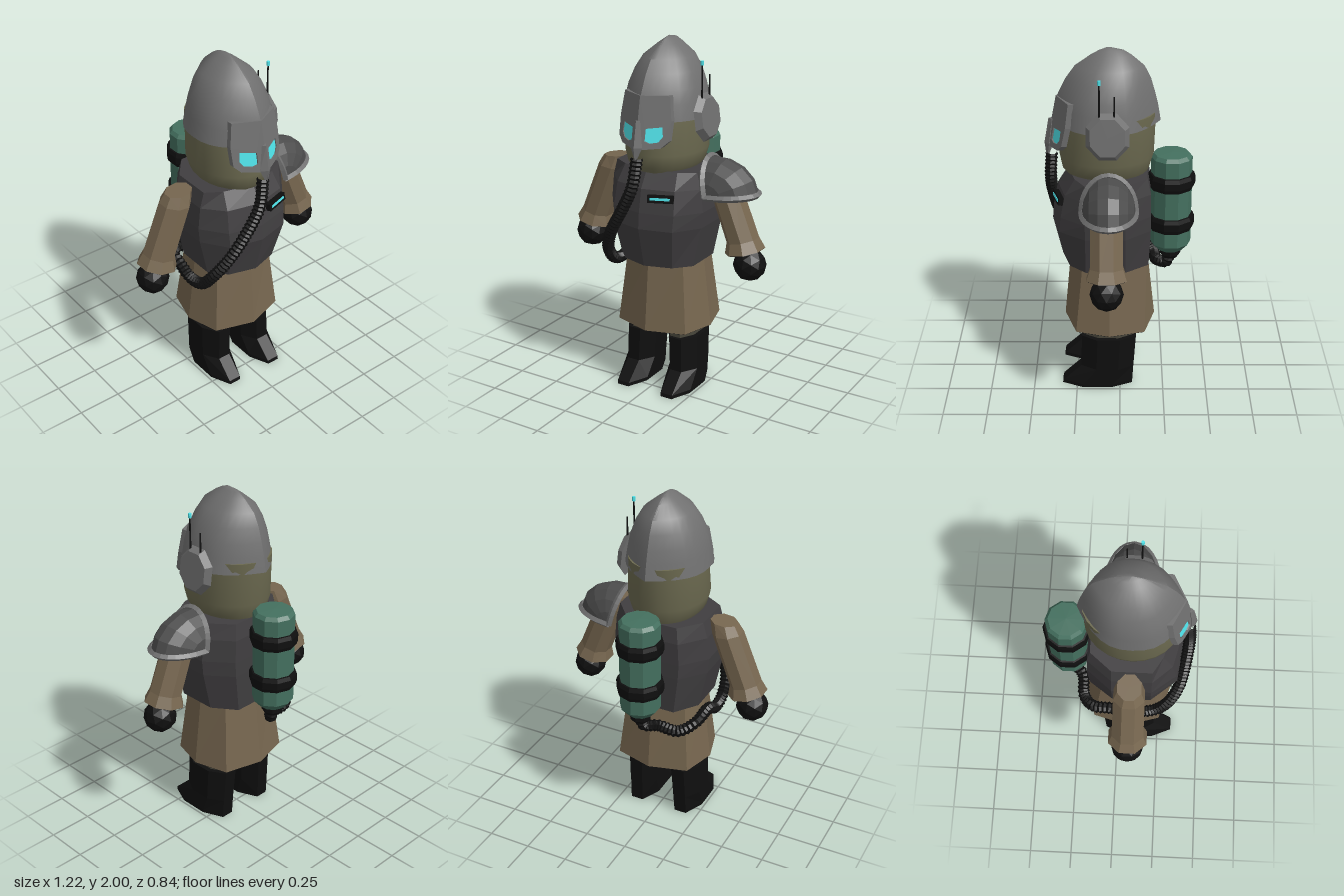
import * as THREE from 'three';
import { toCreasedNormals } from 'three/addons/utils/BufferGeometryUtils.js';
import { ParametricGeometry } from 'three/addons/geometries/ParametricGeometry.js';

const mat = (color, flatShading = true, side = THREE.FrontSide) =>
  new THREE.MeshStandardMaterial({ color, flatShading, side });
const STEEL = 0x707070, PLATE = 0x403e40, CLOTH = 0x76664f, HOOD = 0x6c6a50;
const BLACK = 0x0f0f0f, GREEN = 0x44705f, CYAN = 0x4fe3ea, PANTS = 0x47453a;

// Horizontal ring, counter-clockwise from above: half width w, front f, back b.
function ring(cx, y, w, f, b, { n = 8, tilt = 0, flat = true } = {}) {
  const k = flat ? 1 / Math.cos(Math.PI / n) : 1;
  return Array.from({ length: n }, (_, i) => {
    const a = ((i + (flat ? 0.5 : 0)) / n) * Math.PI * 2;
    const dx = w * k * Math.sin(a);
    return [cx + dx, y + tilt * dx, (f + b) / 2 + ((f - b) / 2) * k * Math.cos(a)];
  });
}

// Mirrors a half outline of [x, z] pairs, front to back, into a ring.
function halfRing(y, pts) {
  const mirrored = pts.slice(1, -1).reverse().map(([x, z]) => [-x, z]);
  return [...pts, ...mirrored].map(([x, z]) => [x, y, z]);
}

// Skins rings from bottom to top and closes both ends.
function loft(rings) {
  const n = rings[0].length, pos = rings.flat(2), idx = [];
  for (let r = 0; r < rings.length - 1; r++) {
    for (let i = 0; i < n; i++) {
      const a = r * n + i, b = r * n + ((i + 1) % n);
      idx.push(a, b, b + n, a, b + n, a + n);
    }
  }
  for (const r of [0, rings.length - 1]) {
    const c = pos.length / 3;
    for (let k = 0; k < 3; k++) pos.push(rings[r].reduce((s, p) => s + p[k], 0) / n);
    for (let i = 0; i < n; i++) {
      const a = r * n + i, b = r * n + ((i + 1) % n);
      idx.push(...(r === 0 ? [c, b, a] : [c, a, b]));
    }
  }
  const g = new THREE.BufferGeometry();
  g.setAttribute('position', new THREE.Float32BufferAttribute(pos, 3));
  g.setIndex(idx);
  g.computeVertexNormals();
  return g;
}

export function createModel() {
  const model = new THREE.Group();
  const add = (name, geo, material, parent = model) => {
    const m = new THREE.Mesh(geo, material);
    m.name = name;
    parent.add(m);
    return m;
  };

  // Hooded head
  const smooth = { n: 24, flat: false };
  add('head', toCreasedNormals(loft([
    ring(0, 1.28, 0.16, 0.28, -0.14, smooth), ring(0, 1.33, 0.2, 0.32, -0.165, smooth),
    ring(0, 1.4, 0.22, 0.333, -0.185, smooth), ring(0, 1.65, 0.21, 0.305, -0.195, smooth),
  ]), 0.8), mat(HOOD, false));

  // Ridged helmet dome: rows of [y, half width, front, back]
  const dome = [[1.59, 0.233, 0.37, -0.22], [1.68, 0.218, 0.355, -0.205], [1.75, 0.203, 0.33, -0.188],
    [1.83, 0.172, 0.29, -0.165], [1.9, 0.13, 0.24, -0.13], [1.96, 0.058, 0.155, -0.06], [1.985, 0.024, 0.11, -0.02],
    [2, 0.001, 0.07, 0.05]];
  add('helmet', toCreasedNormals(loft(dome.map(([y, w, f, b]) =>
    Array.from({ length: 32 }, (_, i) => {
      const a = (i / 32) * Math.PI * 2, c = Math.cos(a);
      return [Math.sign(Math.sin(a)) * w * (1 - Math.abs(c) ** 2.6), y, (f + b) / 2 + ((f - b) / 2) * c];
    }))), 0.75), mat(STEEL, false));

  // Visor halves, swept back from the centre line, with lenses in the eye holes
  const vecs = (pts) => pts.map(([x, y]) => new THREE.Vector2(x, y));
  const eye = [[0.038, 1.56], [0.12, 1.57], [0.125, 1.52], [0.105, 1.49], [0.065, 1.483], [0.038, 1.495]];
  const plate = new THREE.Shape(vecs([[0, 1.73], [0, 1.45], [0.05, 1.452], [0.12, 1.46], [0.155, 1.495],
    [0.158, 1.6], [0.14, 1.73]]));
  plate.holes.push(new THREE.Path(vecs(eye)));
  const sweep = (shape, depth, offset) => {
    const g = new THREE.ExtrudeGeometry(shape, { depth, bevelEnabled: false });
    const p = g.attributes.position;
    for (let i = 0; i < p.count; i++) {
      p.setZ(i, p.getZ(i) + offset + 0.345 + (1.73 - p.getY(i)) * 0.2 - 0.5 * p.getX(i));
    }
    g.computeVertexNormals();
    return g;
  };
  for (const s of [1, -1]) {
    const half = new THREE.Group();
    half.name = s > 0 ? 'leftVisor' : 'rightVisor';
    half.scale.x = s;
    add('visorPlate', sweep(plate, 0.03, -0.03), mat(STEEL), half);
    add('lens', sweep(new THREE.Shape(vecs(eye)), 0.015, -0.023), mat(CYAN), half);
    model.add(half);
  }
  const noseRing = (y, w, f, b) => halfRing(y, [[0, f], [w, (f + b) / 2], [0, b]]);
  add('noseGuard', loft([noseRing(1.385, 0.004, 0.405, 0.39), noseRing(1.46, 0.036, 0.413, 0.36),
    noseRing(1.6, 0.014, 0.388, 0.35)]), mat(STEEL));

  // Ear radio with two aerials
  const radio = new THREE.Group();
  radio.name = 'earRadio';
  model.add(radio);
  const disc = new THREE.CylinderGeometry(0.1, 0.125, 0.035, 8).rotateY(Math.PI / 8).rotateZ(-Math.PI / 2);
  const ear = add('earDisc', disc, mat(STEEL), radio);
  ear.position.set(0.25, 1.588, 0.065);
  ear.rotation.z = 0.13;
  ear.scale.y = 1.1;
  for (const [y0, y1, z] of [[1.6, 1.88, 0.108], [1.6, 1.81, 0.03]]) {
    add('aerial', new THREE.CylinderGeometry(0.004, 0.006, y1 - y0, 6), mat(BLACK), radio)
      .position.set(0.235, (y0 + y1) / 2, z);
  }
  add('aerialTip', new THREE.CylinderGeometry(0.009, 0.009, 0.025, 6), mat(CYAN), radio).position.set(0.235, 1.885, 0.108);

  // Chest armour
  const chest = (y, w, f, b) => halfRing(y, [[0, f], [w * 0.65, f - 0.045], [w, 0.19], [w, -0.03], [w * 0.6, b], [0, b]]);
  add('chestArmour', loft([chest(0.77, 0.235, 0.325, -0.16), chest(1.0, 0.285, 0.378, -0.17),
    chest(1.09, 0.293, 0.37, -0.17), chest(1.22, 0.28, 0.345, -0.168), chest(1.31, 0.255, 0.29, -0.15)]), mat(PLATE));

  // Chest light
  const light = new THREE.Group();
  light.name = 'chestLight';
  light.position.set(0.118, 1.18, 0.338);
  light.rotation.set(-0.2, 0.27, 0.09);
  add('lightHousing', new THREE.BoxGeometry(0.14, 0.042, 0.03), mat(BLACK), light);
  add('lightStrip', new THREE.BoxGeometry(0.11, 0.014, 0.036), mat(CYAN), light);
  model.add(light);

  // Flared coat skirt with a dark underside
  const hem = (y, w, f, b, k = 1) => halfRing(y, [[0, f], [w * 0.8 * k, f - 0.07], [w * k, 0.06], [w * 0.8 * k, b + 0.06], [0, b]]);
  add('coatSkirt', loft([hem(0.375, 0.275, 0.32, -0.2), hem(0.79, 0.225, 0.28, -0.155)]), mat(CLOTH));
  add('skirtLining', loft([hem(0.371, 0.272, 0.315, -0.195), hem(0.38, 0.27, 0.315, -0.195)]), mat(BLACK));

  // Limbs, mirrored
  for (const s of [1, -1]) {
    const limbs = new THREE.Group();
    limbs.name = s > 0 ? 'leftLimbs' : 'rightLimbs';
    limbs.scale.x = s;
    model.add(limbs);
    add('trouserLeg', loft([ring(0.128, 0.28, 0.078, 0.205, -0.075), ring(0.12, 0.5, 0.075, 0.2, -0.07)]), mat(PANTS), limbs);
    add('boot', loft([ring(0.145, 0, 0.088, 0.335, -0.07), ring(0.145, 0.02, 0.09, 0.33, -0.072),
      ring(0.143, 0.12, 0.09, 0.225, -0.078), ring(0.136, 0.32, 0.094, 0.22, -0.092)]), mat(BLACK), limbs);
    const arm = (x, y, w, d, tilt) => ring(x, y, w, 0.07 + d, 0.07 - d, { tilt });
    add('sleeve', loft([arm(0.49, 0.875, 0.1, 0.108, 0.22), arm(0.475, 0.935, 0.08, 0.088, 0.25),
      arm(0.358, 1.23, 0.08, 0.085, 0.12), arm(0.335, 1.295, 0.072, 0.065, -0.08)]), mat(CLOTH), limbs);
    add('cuffLining', loft([arm(0.491, 0.871, 0.094, 0.102, 0.22), arm(0.49, 0.88, 0.09, 0.1, 0.22)]), mat(BLACK), limbs);
    add('hand', new THREE.IcosahedronGeometry(0.092, 1), mat(BLACK), limbs).position.set(0.52, 0.8, 0.07);
  }

  // Shoulder guard: a quarter shell with poles at front and back, and a rim
  const shell = (a, t, out) => out.set(0.305 + 0.245 * Math.sin(a) * Math.cos(t),
    1.18 + 0.195 * Math.sin(a) * Math.sin(t), 0.06 + 0.145 * Math.cos(a));
  const T0 = 0.08, T1 = 1.76;
  add('shoulderGuard', new ParametricGeometry((u, v, out) => shell(u * Math.PI, T0 + v * (T1 - T0), out), 8, 4),
    mat(0x4c4c4c, true, THREE.DoubleSide));
  for (const t of [T0, T1]) {
    const pts = Array.from({ length: 9 }, (_, i) => shell((i / 8) * Math.PI, t, new THREE.Vector3()));
    add('shoulderGuardRim', new THREE.TubeGeometry(new THREE.CatmullRomCurve3(pts), 16, 0.018, 4), mat(STEEL, true, THREE.DoubleSide));
  }

  // Back tank with straps and valve
  const tank = new THREE.Group();
  tank.name = 'backTank';
  tank.position.z = -0.285;
  model.add(tank);
  const lathe = (pts, n = 10) => new THREE.LatheGeometry(vecs(pts), n);
  add('tankBody', lathe([[0, 0.8], [0.075, 0.81], [0.115, 0.855], [0.115, 1.375], [0.098, 1.395], [0, 1.4]]), mat(GREEN), tank);
  for (const y of [0.99, 1.24]) {
    add('tankStrap', lathe([[0.1, y - 0.045], [0.125, y - 0.042], [0.133, y - 0.02], [0.133, y + 0.02],
      [0.125, y + 0.042], [0.1, y + 0.045]]), mat(BLACK), tank);
  }
  add('tankValve', lathe([[0, 0.755], [0.045, 0.755], [0.06, 0.775], [0.06, 0.8], [0, 0.81]], 8), mat(BLACK), tank);

  // Ribbed hose from the valve, around the right hip, up to the mask
  const path = new THREE.CatmullRomCurve3([
    [0, 0.77, -0.285], [-0.01, 0.71, -0.265], [-0.07, 0.69, -0.21], [-0.19, 0.68, -0.195], [-0.27, 0.73, -0.14],
    [-0.29, 0.76, -0.03], [-0.285, 0.7, 0.1], [-0.28, 0.72, 0.2], [-0.265, 0.81, 0.28], [-0.2, 0.94, 0.345],
    [-0.1, 1.1, 0.375], [-0.03, 1.24, 0.385], [-0.005, 1.4, 0.375],
  ].map((p) => new THREE.Vector3(...p)));
  const SEG = 130, SIDES = 8;
  const hose = new THREE.TubeGeometry(path, SEG, 0.036, SIDES);
  const hp = hose.attributes.position, v = new THREE.Vector3();
  for (let i = 0; i <= SEG; i += 2) {
    const c = path.getPointAt(i / SEG);
    for (let j = 0; j <= SIDES; j++) {
      const k = i * (SIDES + 1) + j;
      v.fromBufferAttribute(hp, k).sub(c).multiplyScalar(0.8).add(c);
      hp.setXYZ(k, v.x, v.y, v.z);
    }
  }
  add('breathingHose', hose, mat(BLACK));
  return model;
}
